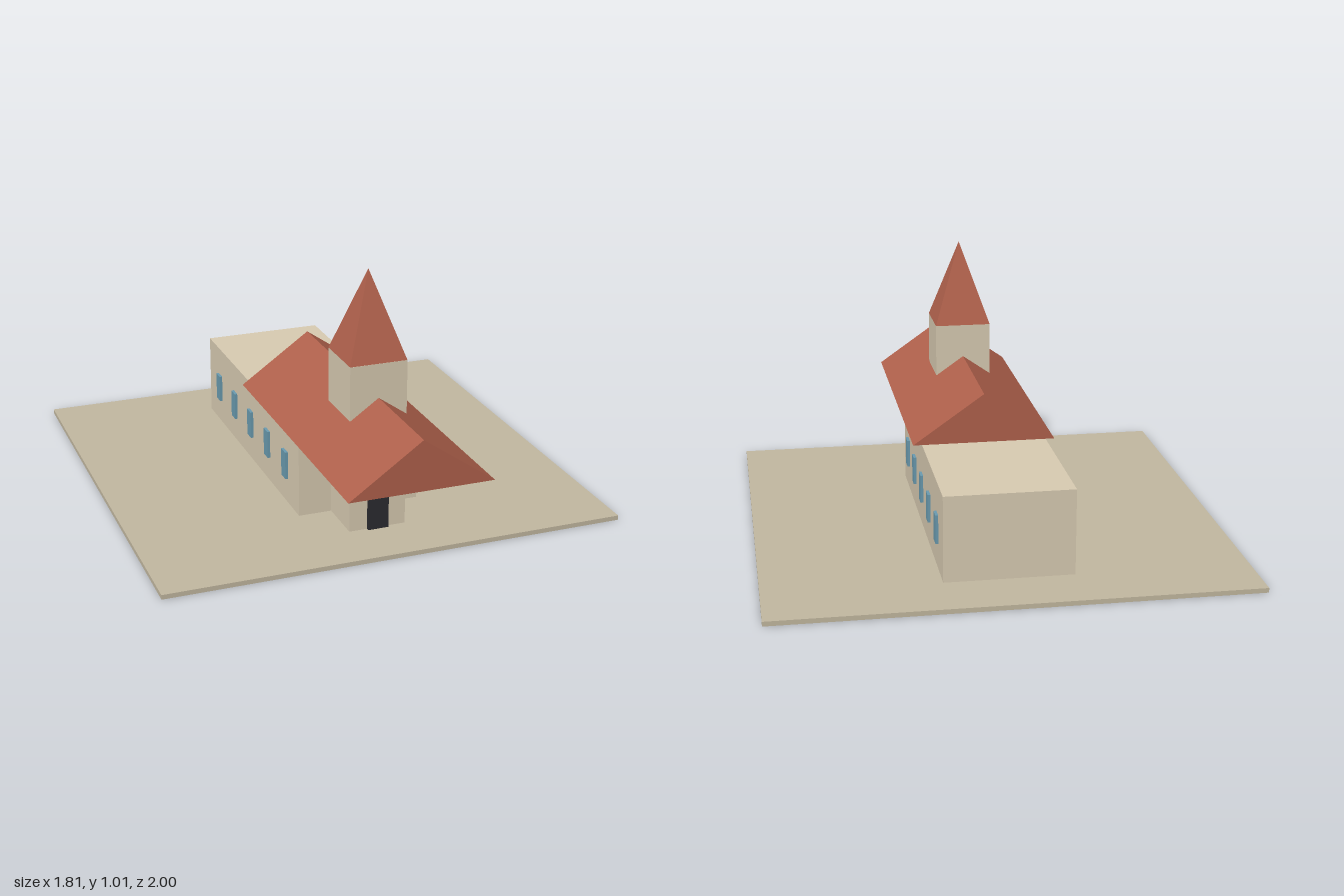
import * as THREE from 'three';

const mat = (color) => new THREE.MeshStandardMaterial({ color, flatShading: true });

export function createModel() {
  const model = new THREE.Group();
  model.name = 'chapel';
  const wall = mat(0xd8cbb2);
  const roofTile = mat(0xb0614c);
  const ground = mat(0xc2b8a0);
  const glass = mat(0x6a9bb0);
  const doorPaint = mat(0x2b2b30);

  const add = (name, geometry, material) => {
    const mesh = new THREE.Mesh(geometry, material);
    mesh.name = name;
    model.add(mesh);
    return mesh;
  };
  // Box given by its extents on each axis
  const box = (name, material, [x0, x1], [y0, y1], [z0, z1]) =>
    add(name, new THREE.BoxGeometry(x1 - x0, y1 - y0, z1 - z0), material)
      .position.set((x0 + x1) / 2, (y0 + y1) / 2, (z0 + z1) / 2);

  const floor = 0.018;
  const eaves = 0.35;

  // Ground slab and walls
  box('groundSlab', ground, [-0.907, 0.907], [0, floor], [-1, 0.815]);
  box('hall', wall, [-0.245, 0.245], [floor, eaves], [-0.768, 0.39]);
  box('tower', wall, [-0.113, 0.113], [floor, 0.68], [0.357, 0.584]);
  box('door', doorPaint, [-0.041, 0.041], [floor, 0.168], [0.58, 0.597]);

  // Gabled roof, a triangular prism along z
  const gable = new THREE.Shape([
    new THREE.Vector2(-0.28, eaves),
    new THREE.Vector2(0.28, eaves),
    new THREE.Vector2(0, 0.546),
  ]);
  const roof = new THREE.ExtrudeGeometry(gable, { depth: 1.19, bevelEnabled: false });
  add('roof', roof, roofTile).position.z = -0.19;

  // Four-sided spire with its sides square to the tower
  const spire = new THREE.ConeGeometry(0.113 * Math.SQRT2, 0.332, 4);
  spire.rotateY(Math.PI / 4);
  add('spire', spire, roofTile).position.set(0, 0.68 + 0.166, 0.47);

  // Five windows along each side of the hall
  for (const side of [-1, 1]) {
    for (let i = 0; i < 5; i++) {
      const z = 0.24 - i * 0.215;
      const xs = [side * 0.24, side * 0.256].sort((a, b) => a - b);
      box(side > 0 ? 'leftWindow' : 'rightWindow', glass, xs, [0.12, 0.232], [z - 0.024, z + 0.024]);
    }
  }
  return model;
}
